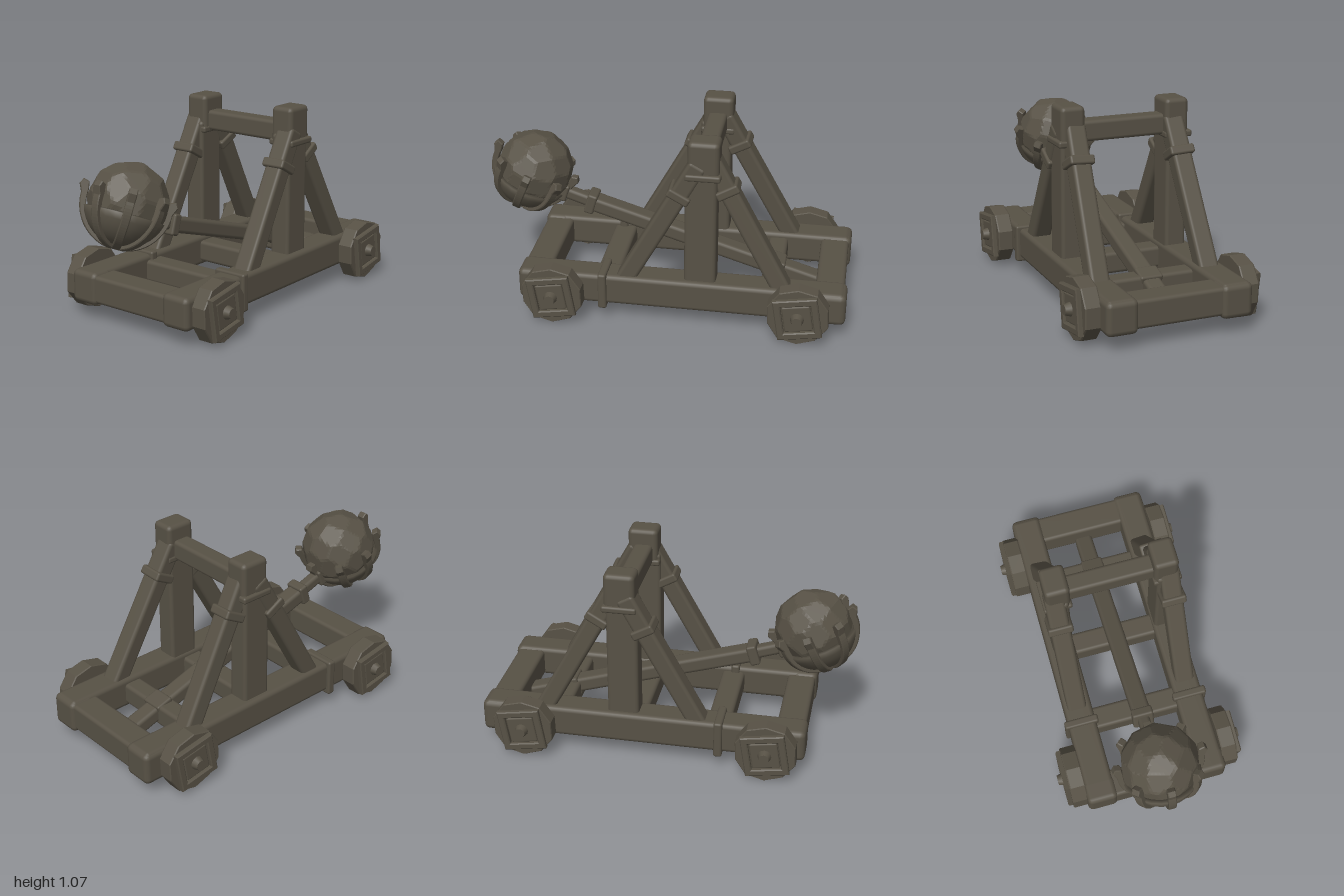
import * as THREE from 'three';
import { RoundedBoxGeometry } from 'three/addons/geometries/RoundedBoxGeometry.js';

const wood = new THREE.MeshStandardMaterial({ color: 0x575145 });
wood.name = 'weathered wood';
const V = (x, y, z) => new THREE.Vector3(x, y, z);

function add(parent, name, geometry) {
  const mesh = new THREE.Mesh(geometry, wood);
  mesh.name = name;
  parent.add(mesh);
  return mesh;
}

// Rounded block given by its min and max corners
function block(parent, name, x0, x1, y0, y1, z0, z1, r = 0.02) {
  const m = add(parent, name, new RoundedBoxGeometry(x1 - x0, y1 - y0, z1 - z0, 2, r));
  m.position.set((x0 + x1) / 2, (y0 + y1) / 2, (z0 + z1) / 2);
  return m;
}

// Rounded beam running from a to b
function beam(parent, name, a, b, height, width, r = 0.02) {
  const dir = b.clone().sub(a);
  const m = add(parent, name, new RoundedBoxGeometry(dir.length(), height, width, 2, r));
  m.position.copy(a).add(b).multiplyScalar(0.5);
  m.quaternion.setFromUnitVectors(V(1, 0, 0), dir.normalize());
  return m;
}

// Short collar wrapped round a beam at fraction t
function collar(parent, name, a, b, t, length, height, width) {
  const c = a.clone().lerp(b, t);
  const half = b.clone().sub(a).setLength(length / 2);
  return beam(parent, name, c.clone().sub(half), c.clone().add(half), height, width, 0.012);
}

function square(path, h) {
  path.moveTo(-h, -h);
  path.lineTo(h, -h);
  path.lineTo(h, h);
  path.lineTo(-h, h);
  path.closePath();
  return path;
}

// Ten-sided wheel with a square framed plate and a round hub, facing +z
function createWheel() {
  const wheel = new THREE.Group();
  wheel.name = 'wheel';
  const bevel = { bevelThickness: 0.006, bevelSize: 0.006, bevelSegments: 1 };
  const rim = new THREE.Shape();
  for (let i = 0; i < 10; i++) {
    const a = (i + 0.5) * Math.PI / 5;
    const r = 0.164 + 0.004 * Math.sin(i * 2.3);
    rim[i ? 'lineTo' : 'moveTo'](Math.cos(a) * r, Math.sin(a) * r);
  }
  rim.closePath();
  add(wheel, 'wheelDisc', new THREE.ExtrudeGeometry(rim, { depth: 0.075, ...bevel, bevelSize: 0.004 }));
  const frame = square(new THREE.Shape(), 0.112);
  frame.holes.push(square(new THREE.Path(), 0.086));
  const frameMesh = add(wheel, 'wheelFrame', new THREE.ExtrudeGeometry(frame, { depth: 0.022, ...bevel }));
  const plate = add(wheel, 'wheelPlate', new RoundedBoxGeometry(0.15, 0.15, 0.03, 2, 0.008));
  frameMesh.position.z = 0.078;
  plate.position.z = 0.082;
  frameMesh.rotation.z = plate.rotation.z = 0.16;
  const hub = add(wheel, 'hub', new THREE.CylinderGeometry(0.027, 0.042, 0.05, 12));
  hub.rotation.x = Math.PI / 2;
  hub.position.z = 0.105;
  return wheel;
}

// Boulder: a sphere cut by evenly spread flat planes
function boulderGeometry(radius, count) {
  const normals = [];
  for (let i = 0; i < count; i++) {
    const y = 1 - (2 * i + 1) / count, s = Math.sqrt(1 - y * y), a = i * 2.39996;
    normals.push(V(Math.cos(a) * s, y, Math.sin(a) * s));
  }
  const g = new THREE.IcosahedronGeometry(1, 12);
  const p = g.attributes.position, d = new THREE.Vector3();
  for (let i = 0; i < p.count; i++) {
    d.fromBufferAttribute(p, i).normalize();
    const cut = Math.max(...normals.map(n => n.dot(d)));
    d.multiplyScalar(radius / cut);
    p.setXYZ(i, d.x, d.y, d.z);
  }
  g.computeVertexNormals();
  return g;
}

// Tilted cup with curved prongs, holding the boulder
function createCup() {
  const cup = new THREE.Group();
  cup.name = 'cup';
  const profile = [];
  for (let i = 0; i <= 8; i++) {
    const a = i / 8 * 1.32;
    profile.push(new THREE.Vector2(Math.sin(a) * 0.218, -Math.cos(a) * 0.218));
  }
  for (let i = 8; i >= 0; i--) {
    const a = i / 8 * 1.32;
    profile.push(new THREE.Vector2(Math.sin(a) * 0.196, -Math.cos(a) * 0.196));
  }
  add(cup, 'cupBowl', new THREE.LatheGeometry(profile, 24));

  // Prong side outline: an arc hugging the bowl with an outward tip
  const outline = new THREE.Shape();
  outline.absarc(0, 0, 0.232, -Math.PI / 2 + 0.2, 0.02, false);
  outline.lineTo(0.25, 0.045);
  outline.lineTo(0.238, 0.068);
  outline.lineTo(0.212, 0.06);
  outline.absarc(0, 0, 0.207, 0.1, -Math.PI / 2 + 0.2, true);
  const prongGeo = new THREE.ExtrudeGeometry(outline, {
    depth: 0.034, bevelThickness: 0.005, bevelSize: 0.004, bevelSegments: 1, curveSegments: 10
  });
  prongGeo.translate(0, 0, -0.017);
  for (let i = 0; i < 8; i++) add(cup, 'cupProng', prongGeo).rotation.y = i * Math.PI / 4;
  cup.position.set(-0.765, 0.685, 0);
  cup.rotation.z = -0.42;
  return cup;
}

export function createModel() {
  const model = new THREE.Group();
  model.name = 'catapult';

  // Both sides: rails, posts, braces and wheels
  for (const s of [1, -1]) {
    const side = new THREE.Group();
    side.name = s > 0 ? 'frontSide' : 'backSide';
    model.add(side);
    const sideBlock = (name, x0, x1, y0, y1, z0, z1, r) =>
      block(side, name, x0, x1, y0, y1, s > 0 ? z0 : -z1, s > 0 ? z1 : -z0, r);

    sideBlock('rail', -0.765, 0.985, 0.095, 0.268, 0.232, 0.39, 0.025);
    sideBlock('railEnd', 0.85, 0.995, 0.085, 0.265, 0.226, 0.396, 0.03);
    sideBlock('railEnd', -0.775, -0.64, 0.09, 0.268, 0.226, 0.396, 0.03);
    sideBlock('railBand', -0.333, -0.287, 0.075, 0.283, 0.218, 0.41, 0.012);
    sideBlock('post', 0.128, 0.298, 0.2, 0.93, 0.24, 0.358, 0.02);
    sideBlock('postCap', 0.142, 0.308, 0.88, 1.076, 0.227, 0.36, 0.025);
    sideBlock('postBand', 0.13, 0.318, 0.866, 0.902, 0.222, 0.377, 0.012);

    const braces = [
      [V(0.675, 0.2, 0.308 * s), V(0.255, 0.97, 0.278 * s), 0.775],
      [V(-0.215, 0.2, 0.315 * s), V(0.2, 0.95, 0.312 * s), 0.755]
    ];
    for (const [a, b, t] of braces) {
      beam(side, 'brace', a, b, 0.1, 0.108);
      collar(side, 'braceBand', a, b, t, 0.05, 0.128, 0.137);
    }

    for (const x of [-0.573, 0.747]) {
      const wheel = createWheel();
      wheel.position.set(x, 0.168, 0.394 * s);
      if (s < 0) wheel.rotation.y = Math.PI;
      side.add(wheel);
    }
  }

  // Cross beams of the bed and the top bar
  block(model, 'frontBeam', 0.825, 0.98, 0.103, 0.254, -0.25, 0.25);
  block(model, 'rearBeam', -0.765, -0.61, 0.103, 0.254, -0.25, 0.25);
  for (const [x0, x1] of [[-0.362, -0.235], [0.1, 0.225], [0.53, 0.64]])
    block(model, 'crossBeam', x0, x1, 0.12, 0.24, -0.25, 0.25);
  block(model, 'topBar', 0.17, 0.275, 0.878, 0.99, -0.25, 0.25);

  // Throwing arm with its collars and neck
  const foot = V(0.83, 0.125, 0), tip = V(-0.45, 0.515, 0);
  beam(model, 'arm', foot, tip, 0.085, 0.1);
  collar(model, 'armBand', foot, tip, 0.19, 0.1, 0.11, 0.125);
  collar(model, 'armBand', foot, tip, 0.993, 0.055, 0.115, 0.115);
  beam(model, 'armNeck', V(-0.42, 0.505, 0), V(-0.66, 0.585, 0), 0.066, 0.066);
  collar(model, 'neckEnd', V(-0.42, 0.505, 0), V(-0.66, 0.585, 0), 0.75, 0.06, 0.1, 0.085);

  // Cup and boulder
  model.add(createCup());
  const boulder = add(model, 'boulder', boulderGeometry(0.198, 44));
  boulder.position.set(-0.755, 0.695, 0);
  boulder.rotation.set(0.3, 0.4, 0.2);
  return model;
}
